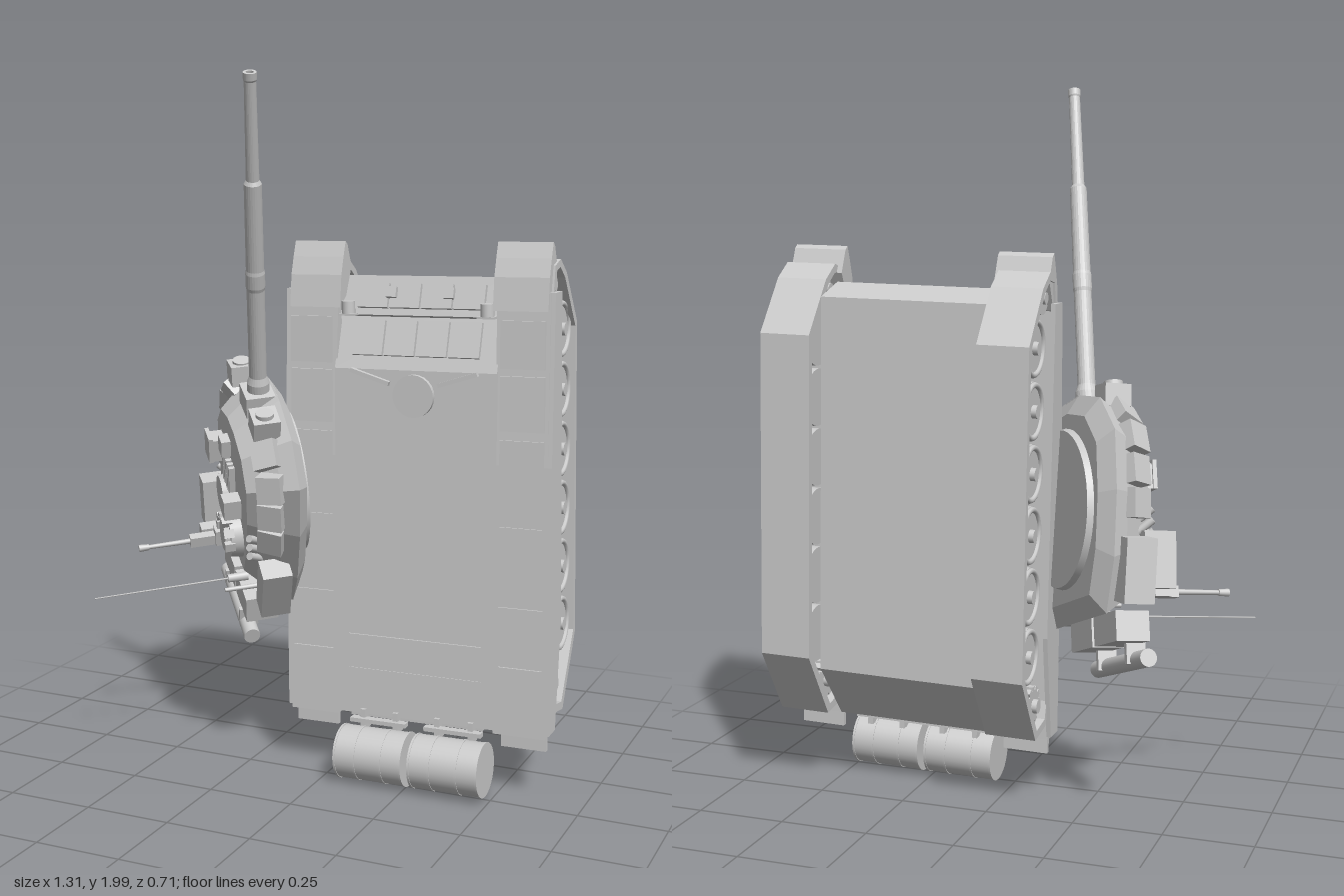
import * as THREE from 'three';

const mat = new THREE.MeshStandardMaterial({ color: 0xcccccc });

function add(parent, name, geo, pos = [0, 0, 0], rot = [0, 0, 0]) {
  const m = new THREE.Mesh(geo, mat);
  m.name = name;
  m.position.set(...pos);
  m.rotation.set(...rot);
  parent.add(m);
  return m;
}
const box = (p, name, size, pos, rot) => add(p, name, new THREE.BoxGeometry(...size), pos, rot);

// Cylinder along 'x', 'y' or 'z'; r1 is the radius at the positive end
function cyl(p, name, r1, r2, len, pos, axis = 'y', seg = 24) {
  const g = new THREE.CylinderGeometry(r1, r2, len, seg);
  if (axis === 'x') g.rotateZ(-Math.PI / 2);
  if (axis === 'z') g.rotateX(Math.PI / 2);
  return add(p, name, g, pos);
}

// Side profile of [z, y] points, extruded across x; a hole must wind the opposite way
function slab(p, name, pts, x0, x1, hole) {
  const v = (a) => a.map(([z, y]) => new THREE.Vector2(z, y));
  const shape = new THREE.Shape(v(pts));
  if (hole) shape.holes.push(new THREE.Path(v(hole)));
  const g = new THREE.ExtrudeGeometry(shape, { depth: x1 - x0, bevelEnabled: false });
  g.rotateY(-Math.PI / 2);
  return add(p, name, g, [x1, 0, 0]);
}

// Flat-shaded loft: one plan outline, scaled at each level [y, scale]
function loft(plan, levels) {
  const n = plan.length, pos = [], idx = [];
  levels.forEach(([y, s]) => plan.forEach(([x, z]) => pos.push(x * s, y, z * s)));
  for (let k = 0; k < levels.length - 1; k++)
    for (let i = 0; i < n; i++) {
      const a = k * n + i, b = k * n + (i + 1) % n;
      idx.push(a, b, b + n, a, b + n, a + n);
    }
  const t = (levels.length - 1) * n;
  for (let i = 1; i < n - 1; i++) idx.push(t, t + i, t + i + 1, 0, i + 1, i);
  const g = new THREE.BufferGeometry();
  g.setAttribute('position', new THREE.Float32BufferAttribute(pos, 3));
  g.setIndex(idx);
  const flat = g.toNonIndexed();
  flat.computeVertexNormals();
  return flat;
}

// Hull stands on its tail: length along y, deck facing +z
function buildHull() {
  const h = new THREE.Group();
  h.name = 'hull';
  slab(h, 'hullBody', [[-.12, .2], [-.26, .37], [-.26, 1.42], [-.155, 1.455], [-.065, 1.2], [-.035, .2]], -.24, .24);

  for (const s of [-1, 1]) {
    const span = (a, b) => (s > 0 ? [a, b] : [-b, -a]);
    // Running gear
    slab(h, 'track',
      [[-.334, .42], [-.334, 1.32], [-.228, 1.465], [-.17, 1.505], [-.12, 1.49], [-.1, 1.4], [-.1, .3], [-.12, .24], [-.21, .225]],
      ...span(.24, .386),
      [[-.198, .25], [-.13, .262], [-.116, .31], [-.116, 1.4], [-.13, 1.475], [-.168, 1.483], [-.212, 1.452], [-.316, 1.31], [-.316, .43]]);
    for (let i = 0; i < 6; i++) {
      const y = .468 + i * .168;
      for (const x of [.28, .345]) cyl(h, 'roadWheel', .08, .08, .045, [s * x, y, -.238], 'x', 32);
      add(h, 'wheelRim', new THREE.TorusGeometry(.071, .008, 8, 32), [s * .368, y, -.238], [0, Math.PI / 2, 0]);
      cyl(h, 'wheelHub', .018, .018, .03, [s * .367, y, -.238], 'x', 16);
    }
    cyl(h, 'idler', .045, .045, .1, [s * .315, 1.435, -.165], 'x');
    cyl(h, 'idlerHub', .016, .016, .12, [s * .315, 1.435, -.165], 'x', 12);
    cyl(h, 'sprocket', .045, .045, .1, [s * .315, .31, -.17], 'x');
    cyl(h, 'sprocketHub', .02, .02, .13, [s * .315, .31, -.17], 'x', 12);
    for (let i = 0; i < 12; i++) {
      const a = i * Math.PI / 6;
      box(h, 'sprocketTooth', [.1, .018, .014],
        [s * .315, .31 + .048 * Math.cos(a), -.17 + .048 * Math.sin(a)], [a + Math.PI / 2, 0, 0]);
    }

    // Fender, side skirt and front mudguard
    slab(h, 'fender', [[-.037, .19], [-.058, .95], [-.085, 1.42], [-.11, 1.42], [-.098, .95], [-.095, .19]], ...span(.235, .385));
    slab(h, 'sideSkirt', [[-.04, .2], [-.06, .95], [-.09, 1.42], [-.15, 1.42], [-.155, .5], [-.1, .2]], ...span(.383, .396));
    slab(h, 'mudguard', [[-.075, 1.37], [-.088, 1.46], [-.105, 1.51], [-.122, 1.553], [-.135, 1.543],
      [-.16, 1.48], [-.12, 1.4]], ...span(.225, .38));
    box(h, 'mudFlap', [.13, .06, .015], [s * .315, .175, -.075]);
    // Stowage panels along the fender
    [[.3, .17], [.49, .13], [.68, .2], [.92, .2], [1.12, .15], [1.28, .13]].forEach(([y, len]) =>
      box(h, 'fenderPanel', [.125, len, .01], [s * .312, y, -.036 - .03 * (y - .2)], [-.03, 0, 0]));
    // Headlight and tow hook
    cyl(h, 'headlight', .019, .019, .035, [s * .205, 1.37, -.088], 'y', 16);
    box(h, 'lightGuard', [.05, .006, .045], [s * .205, 1.35, -.095]);
    box(h, 'towHook', [.03, .03, .025], [s * .085, 1.41, -.122], [-.33, 0, 0]);
    box(h, 'splashBar', [.12, .012, .02], [s * .13, 1.18, -.06], [0, 0, s * .3]);

    // Rear fuel drum with bands
    const dx = .009 + s * .113;
    cyl(h, 'fuelDrum', .076, .076, .205, [dx, .094, 0], 'x', 32);
    for (const o of [-.1, -.04, .04, .1]) cyl(h, 'drumBand', .078, .078, .006, [dx + o, .094, 0], 'x', 32);
    for (const o of [-.05, .05]) box(h, 'drumBracket', [.015, .06, .04], [dx + o, .185, -.045]);
    box(h, 'drumRail', [.17, .012, .025], [dx, .185, -.025]);
  }

  // Sloped front armour blocks
  const slope = (y) => -.062 - .34 * (y - 1.2);
  for (const [y, len] of [[1.285, .1], [1.4, .07]])
    for (let i = 0; i < 4; i++)
      box(h, 'frontArmourBlock', [.09, len, .018], [-.143 + i * .095, y, slope(y)], [-.33, 0, 0]);
  box(h, 'frontRail', [.4, .012, .03], [0, 1.35, slope(1.35)], [-.33, 0, 0]);
  // Driver hatch, engine deck panels
  cyl(h, 'driverHatch', .06, .06, .02, [0, 1.13, -.06], 'z');
  for (const [y, len] of [[.29, .09], [.39, .09]]) box(h, 'engineCover', [.4, len, .01], [0, y, -.04], [-.03, 0, 0]);
  box(h, 'rearGrille', [.4, .02, .05], [0, .197, -.075]);

  h.position.set(.26, 0, 0);
  h.rotation.z = .021;
  return h;
}

// Turret in its own frame: y up, gun along +z
function buildTurret() {
  const t = new THREE.Group();
  t.name = 'turret';
  const half = [[.06, .29], [.2, .25], [.285, .15], [.28, 0], [.245, -.16], [.18, -.29]];
  const plan = [...half, ...half.map(([x, z]) => [-x, z]).reverse()];
  add(t, 'turretBody', loft(plan, [[.002, .88], [.035, 1.06], [.08, .96], [.165, .72]]));
  cyl(t, 'turretRing', .225, .215, .03, [0, 0, 0], 'y', 40);

  // Gun: mantlet, sleeve, evacuator and muzzle
  const gun = new THREE.Group();
  gun.name = 'gun';
  gun.position.set(.015, .078, 0);
  t.add(gun);
  box(gun, 'mantlet', [.1, .09, .07], [0, 0, .27]);
  const profile = [[0, .26], [.032, .26], [.032, .33], [.025, .35], [.025, .62], [.027, .63], [.027, .67], [.025, .68],
    [.024, .93], [.018, .94], [.016, 1.21], [.018, 1.215], [.018, 1.234], [.01, 1.234], [.01, 1.18], [0, 1.18]];
  const barrel = new THREE.LatheGeometry(profile.map(([r, z]) => new THREE.Vector2(r, z)), 24).toNonIndexed();
  barrel.rotateX(Math.PI / 2);
  barrel.computeVertexNormals();
  add(gun, 'barrel', barrel);

  for (const s of [-1, 1]) {
    // Armour blocks wrapped round the cheek: x, z, yaw
    [[.2, .22, .8], [.255, .145, 1.3], [.258, .06, 1.5], [.25, -.025, 1.7]].forEach(([x, z, yaw]) => {
      const block = box(t, 'cheekArmour', [.078, .07, .05], [s * x, .105, z]);
      block.rotation.set(-.55, s * yaw, 0, 'YXZ');
    });
    // Dazzler lamps beside the gun
    box(t, 'dazzler', [.075, .075, .06], [.01 + s * .15, .095, .285], [0, s * .15, 0]);
    cyl(t, 'dazzlerLens', .026, .026, .012, [.01 + s * .155, .095, .317], 'z', 16);
    // Side stowage bin and rear bin
    box(t, 'sideBin', [.07, .085, .17], [s * .245, .1, -.2], [0, s * .25, 0]);
    box(t, 'rearBin', [.155, .095, .08], [s * .085, .12, -.335]);
    // Smoke launchers
    for (let i = 0; i < 3; i++) {
      const tube = cyl(t, 'smokeLauncher', .011, .011, .06, [s * .21, .145, -.05 - i * .03], 'y', 12);
      tube.rotation.set(.7, 0, -s * .5);
    }
  }
  // Snorkel tube across the rear
  cyl(t, 'snorkel', .024, .024, .35, [0, .155, -.42], 'x');
  for (const x of [-.1, .1]) box(t, 'snorkelStrap', [.015, .055, .06], [x, .15, -.4]);

  // Commander cupola and gunner hatch
  cyl(t, 'cupola', .064, .07, .04, [-.08, .18, -.11], 'y', 28);
  cyl(t, 'cupolaLid', .045, .05, .015, [-.08, .207, -.11]);
  for (let i = 0; i < 6; i++) {
    const a = i * Math.PI / 5 - Math.PI / 2;
    box(t, 'periscope', [.025, .03, .018], [-.08 + .06 * Math.sin(a), .205, -.11 + .06 * Math.cos(a)], [0, a, 0]);
  }
  cyl(t, 'gunnerHatch', .055, .06, .025, [.09, .175, -.08]);
  // Roof sights and ribs
  box(t, 'gunnerSight', [.06, .05, .07], [.12, .18, .07]);
  box(t, 'sightHood', [.07, .012, .08], [.12, .209, .075]);
  box(t, 'commanderSight', [.05, .05, .06], [-.1, .19, .0]);
  box(t, 'roofSight', [.05, .035, .05], [.03, .175, .125]);
  for (let i = 0; i < 5; i++) box(t, 'roofRib', [.013, .025, .09], [.05 - i * .022, .17, .045]);
  box(t, 'roofBin', [.065, .09, .15], [.195, .18, -.165], [0, .1, 0]);

  // Upright machine gun on its mount
  box(t, 'gunMount', [.04, .06, .05], [.085, .18, -.225]);
  box(t, 'gunReceiver', [.028, .09, .032], [.09, .24, -.235]);
  box(t, 'ammoBox', [.04, .05, .04], [.13, .22, -.235]);
  cyl(t, 'machineGunBarrel', .006, .008, .16, [.09, .355, -.235], 'y', 10);
  cyl(t, 'muzzle', .011, .009, .03, [.09, .425, -.235], 'y', 10);
  // Antenna and wind mast
  cyl(t, 'antennaBase', .012, .014, .06, [-.057, .17, -.285], 'y', 12);
  cyl(t, 'antenna', .002, .003, .415, [-.057, .388, -.285], 'y', 6);
  cyl(t, 'windMast', .006, .008, .12, [-.17, .17, -.24], 'y', 10);

  // Lying beside the hull, tipped on its edge
  const f = new THREE.Vector3(.148, .932, .332).normalize();
  const l = new THREE.Vector3(-.787, -.09, .608).cross(f).normalize();
  const u = f.clone().cross(l);
  t.quaternion.setFromRotationMatrix(new THREE.Matrix4().makeBasis(l, u, f));
  t.position.set(-.178, .85, -.115);
  return t;
}

export function createModel() {
  const g = new THREE.Group();
  g.name = 'tank';
  g.add(buildHull(), buildTurret());
  return g;
}
